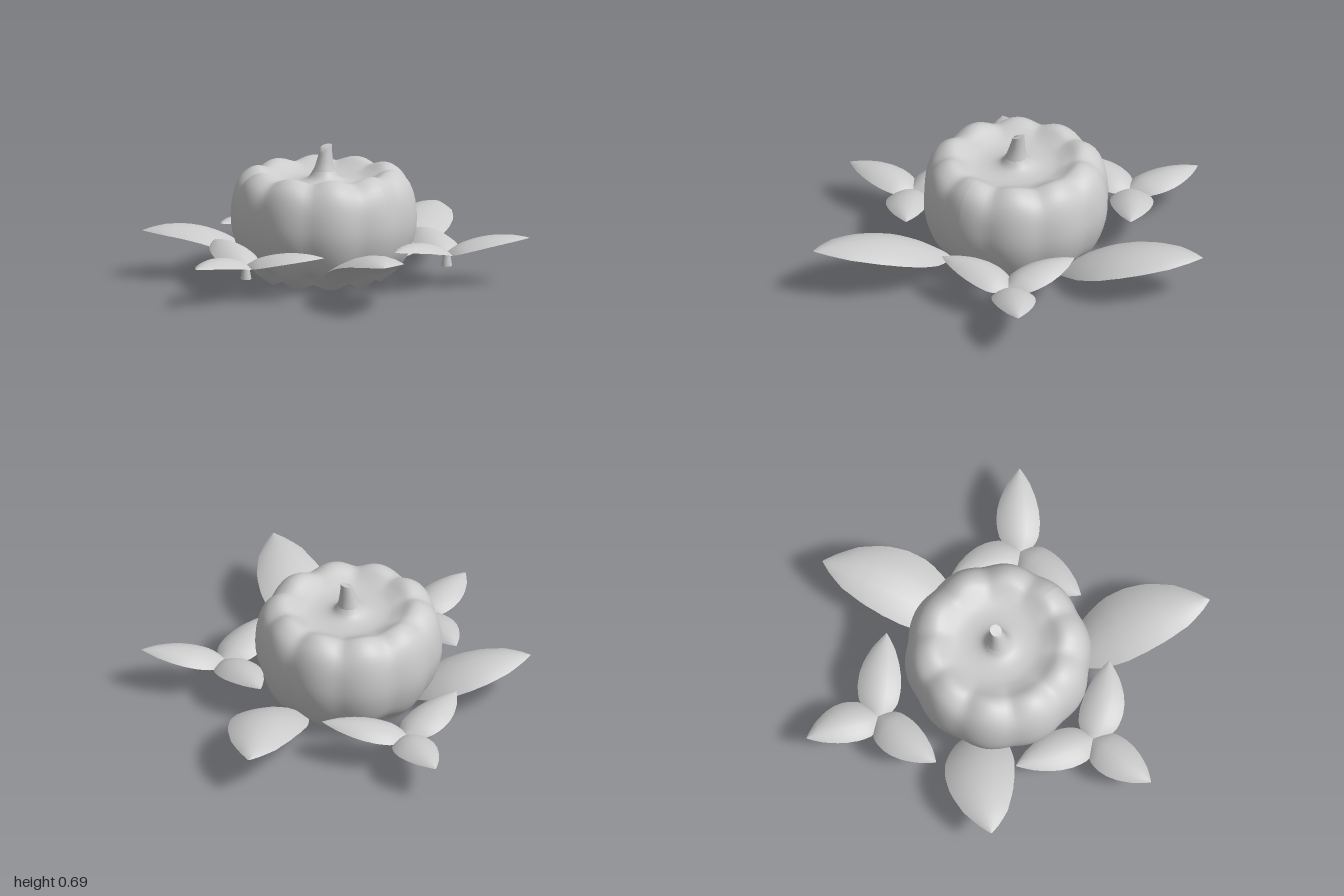
import * as THREE from 'three';
import { ParametricGeometry } from 'three/addons/geometries/ParametricGeometry.js';
import { toCreasedNormals } from 'three/addons/utils/BufferGeometryUtils.js';

const material = new THREE.MeshStandardMaterial({ color: 0xcccccc, side: THREE.DoubleSide });
const v2 = (x, y) => new THREE.Vector2(x, y);
const v3 = (p) => new THREE.Vector3(...p);

function addMesh(parent, name, geometry) {
  const mesh = new THREE.Mesh(geometry, material);
  mesh.name = name;
  parent.add(mesh);
  return mesh;
}

// Half-widths of a leaf along its length, as shares of the widest point
const largeOutline = [
  v2(0, 0.15), v2(0.1, 0.5), v2(0.2, 0.8), v2(0.35, 1), v2(0.5, 1),
  v2(0.65, 0.9), v2(0.82, 0.63), v2(0.93, 0.3), v2(1, 0.02),
];
const smallOutline = [
  v2(0, 0.35), v2(0.1, 0.75), v2(0.2, 0.95), v2(0.35, 1.03), v2(0.5, 0.98),
  v2(0.65, 0.83), v2(0.82, 0.53), v2(0.93, 0.24), v2(1, 0.02),
];
function leafWidth(outline, t) {
  let i = 0;
  while (i < outline.length - 2 && outline[i + 1].x < t) i++;
  const k = (t - outline[i].x) / (outline[i + 1].x - outline[i].x);
  return THREE.MathUtils.lerp(outline[i].y, outline[i + 1].y, k);
}

// Domed leaf from base to tip; bow shifts its middle sideways, arch lifts it
function leafGeometry(base, tip, outline, { halfWidth, bow, arch, dome, thick }) {
  const a = v3(base), b = v3(tip);
  const dir = b.clone().sub(a).setY(0).normalize();
  const side = new THREE.Vector3(-dir.z, 0, dir.x);
  const surface = (t, v, target) => {
    const across = Math.cos(v * Math.PI * 2);
    const w = leafWidth(outline, t);
    const bulge = Math.sin(Math.PI * t);
    const height = (v < 0.5 ? dome : dome - thick) * (1 - across * across) * w;
    target.lerpVectors(a, b, t).addScaledVector(side, across * w * halfWidth + bow * bulge);
    target.y += arch * bulge + height;
  };
  return toCreasedNormals(new ParametricGeometry(surface, 16, 16), 0.9);
}

// Lobed body, open underneath, with a shallow crown that rises again to the stem
function bodyGeometry() {
  const profile = new THREE.SplineCurve([
    v2(0.29, 0.0), v2(0.37, 0.06), v2(0.43, 0.15), v2(0.467, 0.28), v2(0.462, 0.41),
    v2(0.43, 0.51), v2(0.375, 0.562), v2(0.32, 0.57), v2(0.26, 0.535),
    v2(0.2, 0.51), v2(0.13, 0.508), v2(0.08, 0.525), v2(0.055, 0.56),
  ]);
  const geometry = new THREE.LatheGeometry(profile.getPoints(39), 100);
  const pos = geometry.attributes.position;
  for (let i = 0; i < pos.count; i++) {
    const x = pos.getX(i), y = pos.getY(i), z = pos.getZ(i);
    const r = Math.hypot(x, z);
    const seam = 1 - Math.sqrt((Math.cos(5 * Math.atan2(x, z)) ** 2 + 0.06) / 1.06);
    const outer = THREE.MathUtils.smoothstep(r, 0.2, 0.36);
    const pinch = 1 - 0.04 * seam * outer;
    const high = THREE.MathUtils.smoothstep(y, 0.4, 0.57);
    const low = 1 - THREE.MathUtils.smoothstep(y, 0, 0.15);
    pos.setXYZ(i, x * pinch * 1.015, y + seam * outer * (0.06 * low - 0.035 * high), z * pinch);
  }
  geometry.computeVertexNormals();
  return geometry;
}

// Tapered stem leaning slightly sideways, cut at a slant
function stemGeometry() {
  const geometry = new THREE.LatheGeometry([
    v2(0.06, 0.55), v2(0.05, 0.575), v2(0.042, 0.61),
    v2(0.034, 0.65), v2(0.03, 0.68), v2(0, 0.68),
  ], 12);
  const pos = geometry.attributes.position;
  for (let i = 0; i < pos.count; i++) {
    const lift = pos.getY(i) - 0.55;
    const x = pos.getX(i);
    pos.setX(i, x + lift * 0.13);
    if (lift > 0.12) pos.setY(i, pos.getY(i) + x * 0.35);
  }
  return toCreasedNormals(geometry, 0.9);
}

export function createModel() {
  const model = new THREE.Group();
  model.name = 'pumpkinWithLeaves';

  const pumpkin = new THREE.Group();
  pumpkin.name = 'pumpkin';
  pumpkin.position.set(-0.013, 0, -0.015);
  addMesh(pumpkin, 'body', bodyGeometry());
  addMesh(pumpkin, 'stem', stemGeometry());
  model.add(pumpkin);

  // Three large leaves growing from under the body
  const large = [
    { base: [0.31, 0.04, 0.06], tip: [1.0, 0.23, -0.245], halfWidth: 0.185, bow: 0.035 },
    { base: [-0.2, 0.04, 0.28], tip: [-0.54, 0.27, 0.965], halfWidth: 0.18, bow: -0.04 },
    { base: [-0.15, 0.04, -0.25], tip: [-0.63, 0.24, -0.69], halfWidth: 0.175, bow: 0.04 },
  ];
  for (const { base, tip, halfWidth, bow } of large) {
    addMesh(model, 'largeLeaf', leafGeometry(base, tip, largeOutline,
      { halfWidth, bow, arch: 0.045, dome: 0.06, thick: 0.03 }));
  }

  // Three sprigs, each with three small leaves on a short stalk
  const sprigs = [
    { at: [-0.62, 0.05], tips: [[-1.0, 0.2, 0.08], [-0.46, 0.22, -0.34], [-0.4, 0.22, 0.39]], bows: [0.01, 0, 0.015] },
    { at: [0.345, 0.505], tips: [[-0.05, 0.22, 0.54], [0.48, 0.22, 0.14], [0.64, 0.24, 0.8]], bows: [0.015, 0, -0.01] },
    { at: [0.235, -0.625], tips: [[-0.16, 0.22, -0.61], [0.4, 0.2, -0.97], [0.5, 0.23, -0.295]], bows: [0.015, 0.015, -0.01] },
  ];
  for (const { at: [x, z], tips, bows } of sprigs) {
    const sprig = new THREE.Group();
    sprig.name = 'sprig';
    tips.forEach((tip, i) => addMesh(sprig, 'smallLeaf', leafGeometry([x, 0.15, z], tip, smallOutline,
      { halfWidth: 0.107, bow: bows[i], arch: 0.01, dome: 0.045, thick: 0.03 })));
    const stalk = addMesh(sprig, 'stalk', new THREE.CylinderGeometry(0.018, 0.028, 0.06, 8));
    stalk.position.set(x, 0.125, z);
    model.add(sprig);
  }

  return model;
}
